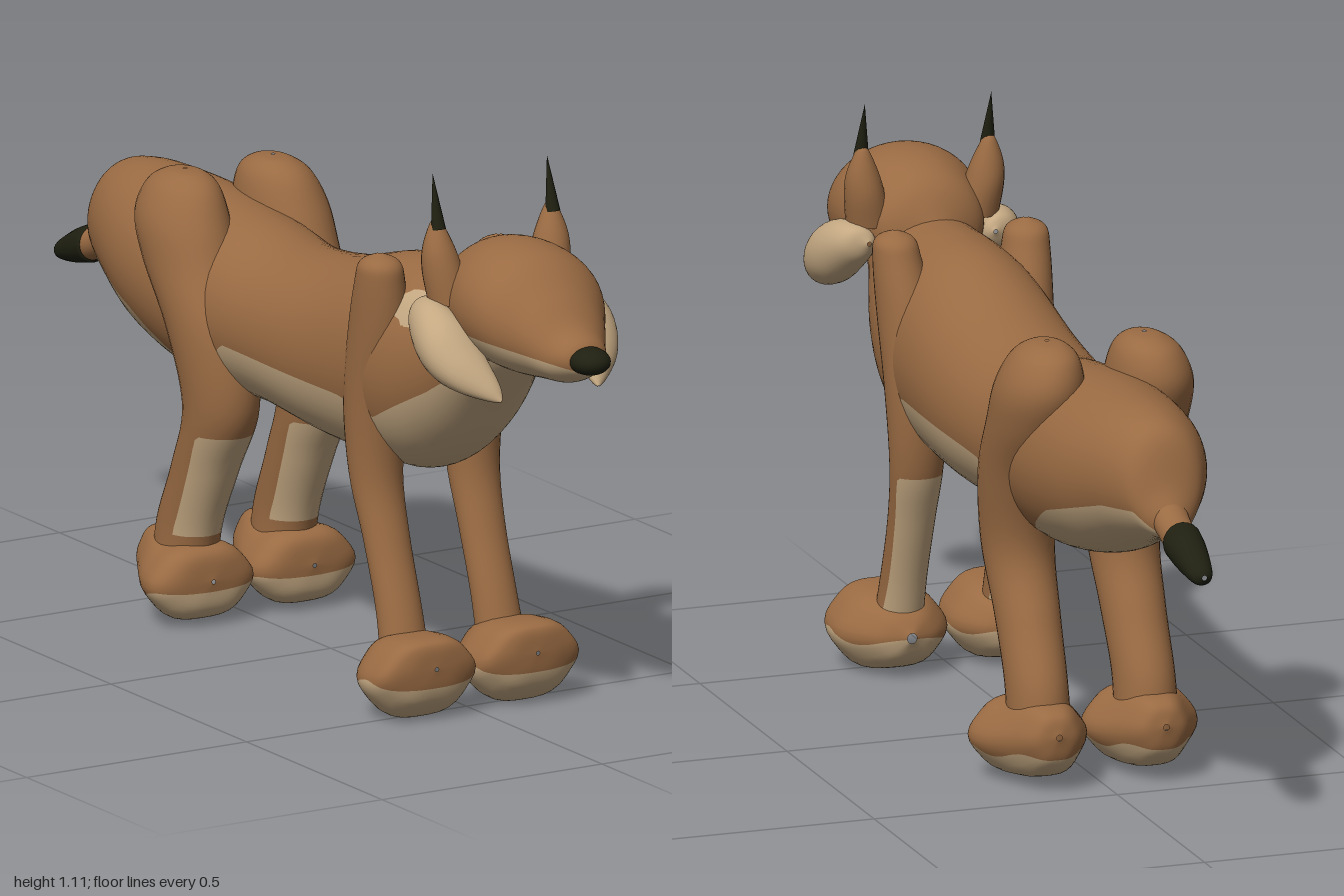
import * as THREE from 'three';

const mat = (name, color) => Object.assign(new THREE.MeshStandardMaterial({ color }), { name });

// Smooth closed loft. Sections are [t, c1, c2, r1, r2] with t increasing along axis 'z' or 'y'.
function loft(axis, sections, rings = 40, sides = 32, ripple = 0) {
  const curve = (f) => new THREE.CatmullRomCurve3(sections.map(f), false, 'catmullrom', 0.5);
  const centre = curve(([t, a, b]) => new THREE.Vector3(a, b, t));
  const radius = curve(([, , , r, q]) => new THREE.Vector3(r, q, 0));
  const pos = [], index = [];
  for (let i = 0; i <= rings; i++) {
    const c = centre.getPoint(i / rings), r = radius.getPoint(i / rings);
    for (let j = 0; j < sides; j++) {
      const a = (j / sides) * Math.PI * 2, k = 1 + ripple * Math.cos(6 * a);
      const u = Math.max(r.x, 0.002) * Math.cos(a) * k, v = Math.max(r.y, 0.002) * Math.sin(a) * k;
      if (axis === 'z') pos.push(c.x + u, c.y + v, c.z);
      else pos.push(c.x + u, c.z, c.y - v);
      if (i < rings) {
        const p = i * sides + j, q = i * sides + ((j + 1) % sides);
        index.push(p, q, q + sides, p, q + sides, p + sides);
      }
    }
  }
  const g = new THREE.BufferGeometry();
  g.setAttribute('position', new THREE.Float32BufferAttribute(pos, 3));
  g.setIndex(index);
  g.computeVertexNormals();
  return g;
}

// Cuts the surface along f = 0: group 0 where f >= 0, group 1 where f < 0.
function twoTone(geometry, f) {
  const g = geometry.toNonIndexed(), P = g.attributes.position, N = g.attributes.normal;
  const out = [[], []];
  for (let i = 0; i < P.count; i += 3) {
    const tri = [0, 1, 2].map((k) => {
      const p = new THREE.Vector3().fromBufferAttribute(P, i + k);
      return { p, n: new THREE.Vector3().fromBufferAttribute(N, i + k), d: f(p.x, p.y, p.z) };
    });
    [1, -1].forEach((sign, side) => {
      const poly = [];
      tri.forEach((a, k) => {
        const b = tri[(k + 1) % 3], inA = sign > 0 ? a.d >= 0 : a.d < 0;
        if (inA) poly.push(a);
        if ((a.d >= 0) !== (b.d >= 0)) {
          const t = a.d / (a.d - b.d);
          poly.push({ p: a.p.clone().lerp(b.p, t), n: a.n.clone().lerp(b.n, t).normalize() });
        }
      });
      for (let k = 1; k + 1 < poly.length; k++) out[side].push(poly[0], poly[k], poly[k + 1]);
    });
  }
  const all = [...out[0], ...out[1]], r = new THREE.BufferGeometry();
  r.setAttribute('position', new THREE.Float32BufferAttribute(all.flatMap((v) => v.p.toArray()), 3));
  r.setAttribute('normal', new THREE.Float32BufferAttribute(all.flatMap((v) => v.n.toArray()), 3));
  r.addGroup(0, out[0].length, 0);
  r.addGroup(out[0].length, out[1].length, 1);
  return r;
}

// Piecewise linear lookup in a list of [x, value].
function lookup(points, x) {
  if (x <= points[0][0]) return points[0][1];
  for (let i = 1; i < points.length; i++) {
    const [a, u] = points[i - 1], [b, v] = points[i];
    if (x <= b) return u + ((v - u) * (x - a)) / (b - a);
  }
  return points[points.length - 1][1];
}

// [z, top, bottom, halfWidth] to a loft section on the centre line
const span = ([z, top, bottom, w]) => [z, 0, (top + bottom) / 2, w, (top - bottom) / 2];

export function createModel() {
  const fur = mat('brown fur', 0x9a6b43), cream = mat('cream fur', 0xc4a882), dark = mat('dark tips', 0x1f2011);
  const model = new THREE.Group();
  model.name = 'wildcat';
  const add = (name, geometry, material) => {
    const mesh = new THREE.Mesh(geometry, material);
    mesh.name = name;
    model.add(mesh);
    return mesh;
  };

  // Body with cream belly, chest and neck patches
  const belly = [[-0.83, 0.6], [-0.78, 0.655], [-0.7, 0.65], [-0.5, 0.59], [-0.33, 0.5], [-0.25, 0.5],
    [-0.15, 0.6], [0.28, 0.6], [0.4, 0.58], [0.55, 0.66], [0.75, 0.8]];
  const body = loft('z', [
    [-0.83, 0.645, 0.61, 0.01], [-0.8, 0.7, 0.6, 0.05], [-0.76, 0.8, 0.59, 0.085], [-0.68, 0.83, 0.56, 0.12],
    [-0.55, 0.835, 0.505, 0.155], [-0.4, 0.83, 0.47, 0.17], [-0.25, 0.81, 0.46, 0.165], [-0.1, 0.79, 0.465, 0.163],
    [0.1, 0.815, 0.45, 0.167], [0.3, 0.87, 0.45, 0.167], [0.42, 0.88, 0.465, 0.165], [0.52, 0.88, 0.53, 0.145],
    [0.62, 0.88, 0.64, 0.11], [0.7, 0.86, 0.72, 0.08], [0.74, 0.82, 0.77, 0.01],
  ].map(span), 110, 56);
  add('body', twoTone(body, (x, y, z) => Math.min(
    y - lookup(belly, z),
    ((z - 0.49) / 0.06) ** 2 + ((y - 0.815) / 0.028) ** 2 - 1)), [fur, cream]);

  // Head with cream jaw
  const head = loft('z', [
    [0.52, 0.87, 0.8, 0.03], [0.56, 0.94, 0.76, 0.1], [0.62, 0.975, 0.735, 0.125], [0.7, 0.985, 0.735, 0.143],
    [0.78, 0.968, 0.735, 0.138], [0.85, 0.912, 0.74, 0.1], [0.9, 0.86, 0.745, 0.07], [0.94, 0.835, 0.765, 0.045],
    [0.955, 0.81, 0.79, 0.01],
  ].map(span), 60, 48);
  add('head', twoTone(head, (x, y) => y - 0.772 - 0.33 * Math.abs(x)), [fur, cream]);
  const nose = add('nose', new THREE.SphereGeometry(1, 24, 16), dark);
  nose.scale.set(0.04, 0.027, 0.047);
  nose.position.set(0, 0.8, 0.953);

  // Short tail with dark tip
  add('tail', loft('z', [[-0.88, 0, 0.612, 0.036, 0.036], [-0.83, 0, 0.628, 0.035, 0.035], [-0.76, 0, 0.665, 0.04, 0.045]], 12), fur);
  add('tailTip', loft('z', [[-1, 0, 0.575, 0.005, 0.005], [-0.985, 0, 0.576, 0.022, 0.02], [-0.93, 0, 0.595, 0.034, 0.034],
    [-0.885, 0, 0.61, 0.039, 0.039], [-0.868, 0, 0.614, 0.036, 0.036], [-0.865, 0, 0.615, 0.004, 0.004]], 24, 20), dark);

  for (const [side, s] of [['left', 1], ['right', -1]]) {
    const pair = (name, axis, sections, material, split, ...detail) => {
      const g = loft(axis, sections.map(([t, a, b, r, q]) => [t, a * s, b, r, q]), ...detail);
      add(side + name, split ? twoTone(g, split) : g, material);
    };

    // Cheek ruff, ear and ear tuft
    pair('CheekRuff', 'z', [[0.56, 0.13, 0.835, 0.004, 0.004], [0.58, 0.145, 0.83, 0.035, 0.035], [0.64, 0.158, 0.805, 0.05, 0.062],
      [0.7, 0.158, 0.78, 0.056, 0.062], [0.75, 0.145, 0.748, 0.045, 0.042], [0.79, 0.122, 0.718, 0.022, 0.02],
      [0.81, 0.11, 0.7, 0.002, 0.002]], cream);
    pair('Ear', 'y', [[0.86, 0.11, 0.62, 0.045, 0.045], [0.92, 0.122, 0.61, 0.04, 0.042], [0.965, 0.128, 0.605, 0.032, 0.032],
      [1.01, 0.13, 0.6, 0.014, 0.014], [1.025, 0.13, 0.6, 0.002, 0.002]], fur, null, 24, 20);
    const tuft = add(side + 'EarTuft', new THREE.ConeGeometry(0.015, 0.11, 10), dark);
    tuft.position.set(0.13 * s, 1.056, 0.597);
    tuft.rotation.x = -0.2;

    // Foreleg from shoulder blade to ankle, cream behind
    pair('Foreleg', 'y', [[0.09, 0.11, 0.455, 0.05, 0.045], [0.2, 0.108, 0.425, 0.046, 0.043], [0.33, 0.108, 0.38, 0.047, 0.043],
      [0.45, 0.11, 0.345, 0.053, 0.052], [0.6, 0.112, 0.345, 0.06, 0.068], [0.75, 0.122, 0.375, 0.055, 0.07],
      [0.85, 0.132, 0.395, 0.047, 0.055], [0.89, 0.135, 0.4, 0.038, 0.042], [0.908, 0.135, 0.4, 0.004, 0.004]],
    [fur, cream], (x, y, z) => Math.max(z - (0.34 + (0.45 - y) * 0.33) + 0.02, y - 0.43));
    pair('Forepaw', 'z', [[0.37, 0.11, 0.09, 0.01, 0.01], [0.4, 0.11, 0.085, 0.065, 0.05], [0.46, 0.115, 0.083, 0.107, 0.077],
      [0.52, 0.117, 0.085, 0.113, 0.083], [0.557, 0.117, 0.098, 0.1, 0.068], [0.573, 0.115, 0.108, 0.06, 0.045],
      [0.578, 0.115, 0.11, 0.004, 0.004]], [fur, cream], (x, y, z) => y - 0.08 - 0.01 * Math.sin(z * 40), 36, 36, 0.025);

    // Hind leg from raised hip to ankle, cream patch in front
    pair('HindLeg', 'y', [[0.1, 0.11, -0.36, 0.062, 0.07], [0.2, 0.11, -0.34, 0.06, 0.076], [0.32, 0.108, -0.285, 0.063, 0.077],
      [0.45, 0.108, -0.23, 0.07, 0.088], [0.6, 0.113, -0.26, 0.08, 0.105], [0.72, 0.115, -0.33, 0.084, 0.115],
      [0.8, 0.112, -0.365, 0.084, 0.115], [0.86, 0.105, -0.375, 0.065, 0.09], [0.887, 0.1, -0.375, 0.035, 0.05],
      [0.893, 0.1, -0.375, 0.004, 0.004]], [fur, cream],
    (x, y, z) => Math.max(-0.2 - (0.45 - y) * 0.44 - z, y - 0.4, 0.18 - y), 56);
    pair('HindPaw', 'z', [[-0.475, 0.11, 0.12, 0.006, 0.006], [-0.46, 0.11, 0.112, 0.045, 0.05], [-0.41, 0.11, 0.1, 0.075, 0.075],
      [-0.34, 0.114, 0.088, 0.106, 0.076], [-0.285, 0.116, 0.088, 0.112, 0.076], [-0.255, 0.115, 0.092, 0.08, 0.055],
      [-0.245, 0.115, 0.095, 0.004, 0.004]], [fur, cream], (x, y, z) => y - 0.07 - 0.01 * Math.sin(z * 40), 36, 36, 0.025);
  }
  return model;
}
